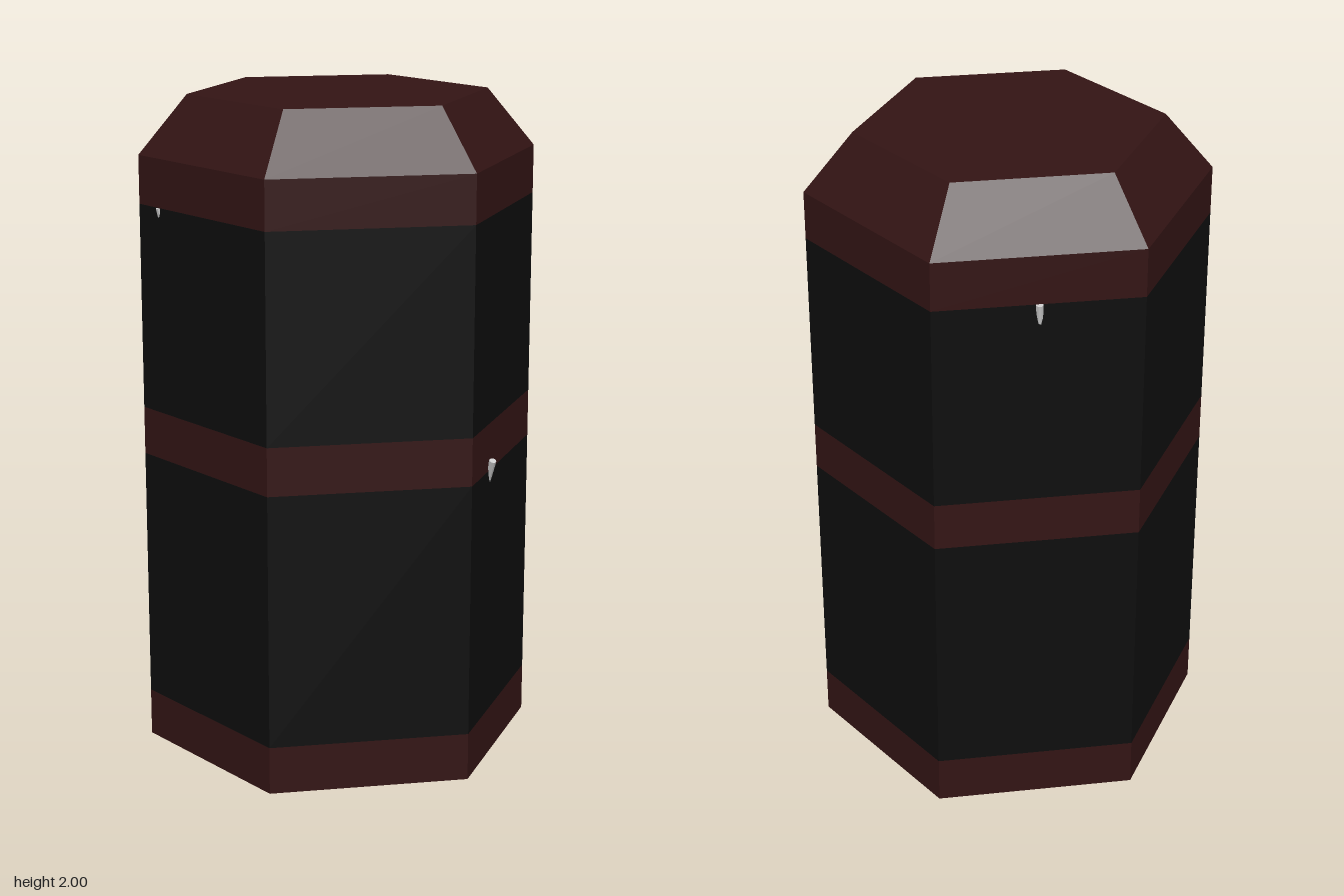
import * as THREE from 'three';

export function createModel() {
  const group = new THREE.Group();
  const red = new THREE.MeshStandardMaterial({ color: 0x331414, flatShading: true });
  const black = new THREE.MeshStandardMaterial({ color: 0x0e0e0e, flatShading: true });
  const grey = new THREE.MeshStandardMaterial({ color: 0xcccccc, flatShading: true });
  const R = 0.598, CX = -0.014;

  // Hexagonal barrel: stacked sections [name, bottom, top, material, top radius, end caps]
  const sections = [
    ['bottomBand', 0, 0.145, red, R],
    ['lowerBody', 0.145, 0.915, black, R],
    ['middleBand', 0.915, 1.06, red, R],
    ['upperBody', 1.06, 1.68, black, R],
    ['topBand', 1.68, 1.825, red, R],
    ['bevelledLid', 1.825, 2, red, 0.452],
  ];
  for (const [name, y0, y1, material, topRadius] of sections) {
    const mesh = new THREE.Mesh(new THREE.CylinderGeometry(topRadius, R, y1 - y0, 6), material);
    mesh.name = name;
    mesh.position.set(CX, (y0 + y1) / 2, 0);
    group.add(mesh);
  }

  // Small pins poking out of the walls, given by inner end and outer tip
  const pins = [
    ['sidePin', [0.496, 0.88, 0.112], [0.518, 0.95, 0.136]],
    ['backPin', [-0.27, 1.6, -0.436], [-0.275, 1.68, -0.45]],
    ['frontPin', [-0.436, 1.6, 0.33], [-0.448, 1.68, 0.343]],
  ];
  const up = new THREE.Vector3(0, 1, 0);
  for (const [name, from, to] of pins) {
    const a = new THREE.Vector3(...from), b = new THREE.Vector3(...to);
    const dir = b.clone().sub(a);
    const pin = new THREE.Mesh(new THREE.CylinderGeometry(0.011, 0.009, dir.length(), 8), grey);
    pin.name = name;
    pin.position.copy(a).add(b).multiplyScalar(0.5);
    pin.quaternion.setFromUnitVectors(up, dir.normalize());
    group.add(pin);
  }
  return group;
}
